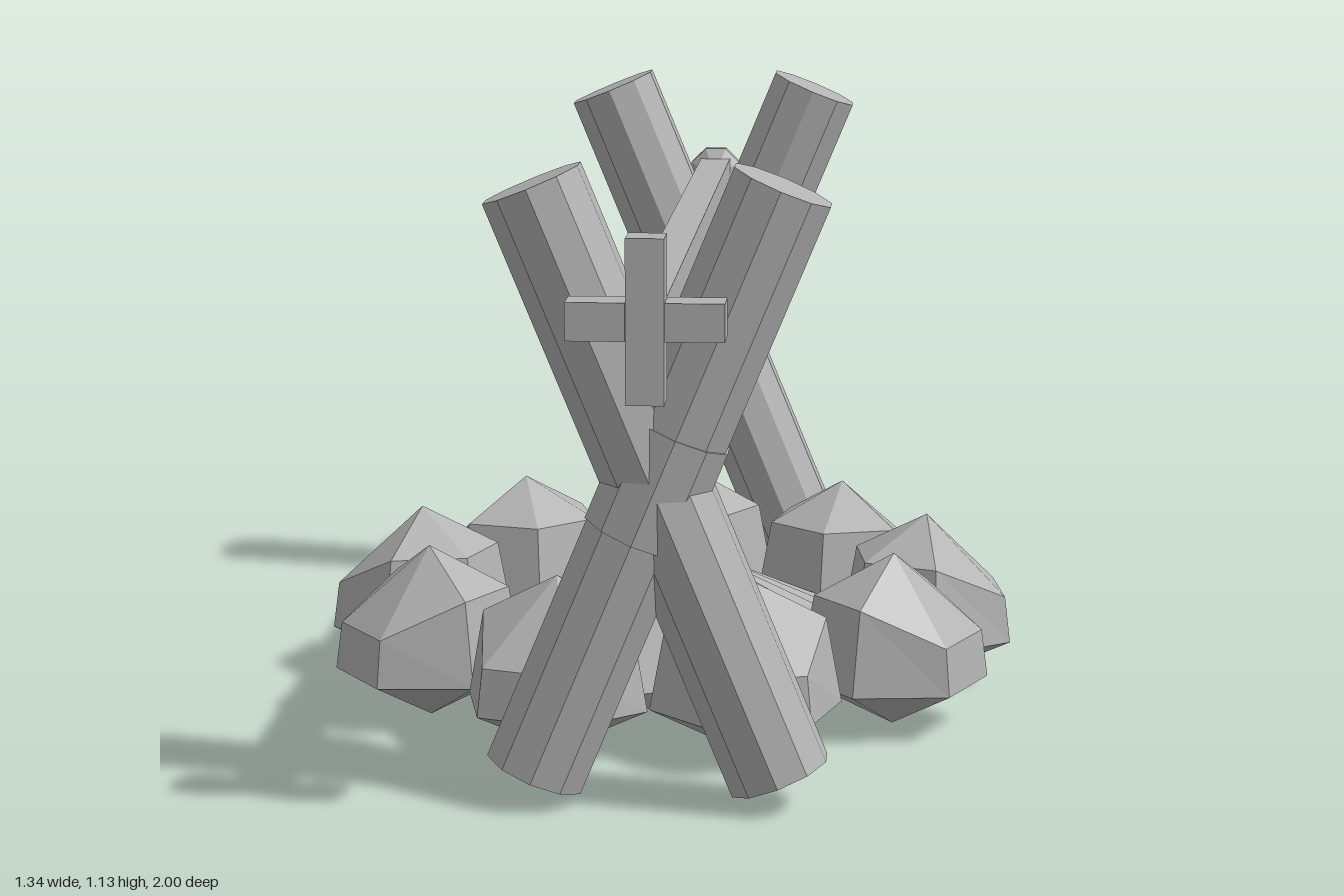
import * as THREE from 'three';

const stoneGrey = new THREE.MeshStandardMaterial({ color: 0xb3b3b3, flatShading: true });
stoneGrey.name = 'plainGrey';

function add(parent, name, geometry, x = 0, y = 0, z = 0) {
  const mesh = new THREE.Mesh(geometry, stoneGrey);
  mesh.name = name;
  mesh.position.set(x, y, z);
  parent.add(mesh);
  return mesh;
}

// Faceted boulder: two hexagonal rings capped by an apex above and below
function boulderGeometry() {
  const sides = 6, points = [0, 0.33, 0], index = [];
  const rings = [{ r: 0.15, y: 0.25 }, { r: 0.18, y: 0.09 }];
  rings.forEach(({ r, y }, level) => {
    for (let i = 0; i < sides; i++) {
      const a = (i + 0.5) / sides * Math.PI * 2;
      const outward = i === 0 || i === sides - 1;      // outward side faces +z
      const low = level === 0 && outward;
      points.push(Math.sin(a) * r * (low ? 1.12 : 1), low ? 0.18 : y, Math.cos(a) * r * (low ? 1.12 : 1));
    }
  });
  points.push(0, 0, 0);
  for (let i = 0; i < sides; i++) {
    const a = 1 + i, b = 1 + (i + 1) % sides, c = a + sides, d = b + sides;
    index.push(0, a, b, a, c, d, a, d, b, 2 * sides + 1, d, c);
  }
  const g = new THREE.BufferGeometry();
  g.setAttribute('position', new THREE.Float32BufferAttribute(points, 3));
  g.setIndex(index);
  const flat = g.toNonIndexed();
  flat.computeVertexNormals();
  return flat;
}

export function createModel() {
  const model = new THREE.Group();
  model.name = 'campfireWithSpit';

  // Crossed support logs at each end
  const tilt = Math.atan2(0.43, 1.04);
  for (const [name, z] of [['frontSupport', 0.765], ['backSupport', -0.835]]) {
    const support = new THREE.Group();
    support.name = name;
    support.position.set(0.035, 0.575, z);
    model.add(support);
    for (const side of [-1, 1]) {
      const log = add(support, 'supportLog', new THREE.CylinderGeometry(0.093, 0.093, 1.125, 10));
      log.rotation.z = side * tilt;
    }
    // Slightly wider joint on the log that overlaps the other
    const joint = add(support, 'crossingJoint', new THREE.CylinderGeometry(0.097, 0.097, 0.2, 10));
    joint.rotation.z = -tilt;
  }

  // Spit bar with a cross handle and an end knob
  const spit = new THREE.Group();
  spit.name = 'spit';
  spit.position.set(0.032, 0.895, 0);
  model.add(spit);
  add(spit, 'spitBar', new THREE.BoxGeometry(0.063, 0.063, 1.9), 0, 0, -0.01);
  add(spit, 'handleUpright', new THREE.BoxGeometry(0.065, 0.28, 0.068), 0, 0, 0.966);
  for (const side of [-1, 1]) {
    add(spit, 'handleArm', new THREE.BoxGeometry(0.1, 0.065, 0.068), side * 0.083, 0, 0.966);
  }
  const knobProfile = [[0, -0.025], [0.035, -0.025], [0.057, -0.012], [0.057, 0.012], [0.035, 0.025], [0, 0.025]]
    .map(([r, y]) => new THREE.Vector2(r, y));
  const knob = add(spit, 'endKnob', new THREE.LatheGeometry(knobProfile, 8), 0, 0, -0.975);
  knob.rotation.set(Math.PI / 2, Math.PI / 8, 0);

  // Fire pit: ring of boulders around a low tent of sticks
  const pit = new THREE.Group();
  pit.name = 'firePit';
  pit.position.z = -0.035;
  model.add(pit);
  const boulder = boulderGeometry();
  for (let i = 0; i < 9; i++) {
    const a = Math.PI + i / 9 * Math.PI * 2;
    const stone = add(pit, 'boulder', boulder, Math.sin(a) * 0.508, 0, Math.cos(a) * 0.508);
    stone.rotation.y = a + 0.12 * Math.sin(i * 2.3);
  }
  const slope = Math.atan2(0.18, 0.42);
  const stickGeometry = new THREE.BoxGeometry(0.08, 0.035, 0.457).translate(0, 0, 0.2285);
  for (let i = 0; i < 26; i++) {
    const stick = add(pit, 'fireStick', stickGeometry, 0, 0.26, 0);
    stick.rotation.order = 'YXZ';
    stick.rotation.set(slope, i / 26 * Math.PI * 2, 0.15);
  }

  return model;
}
